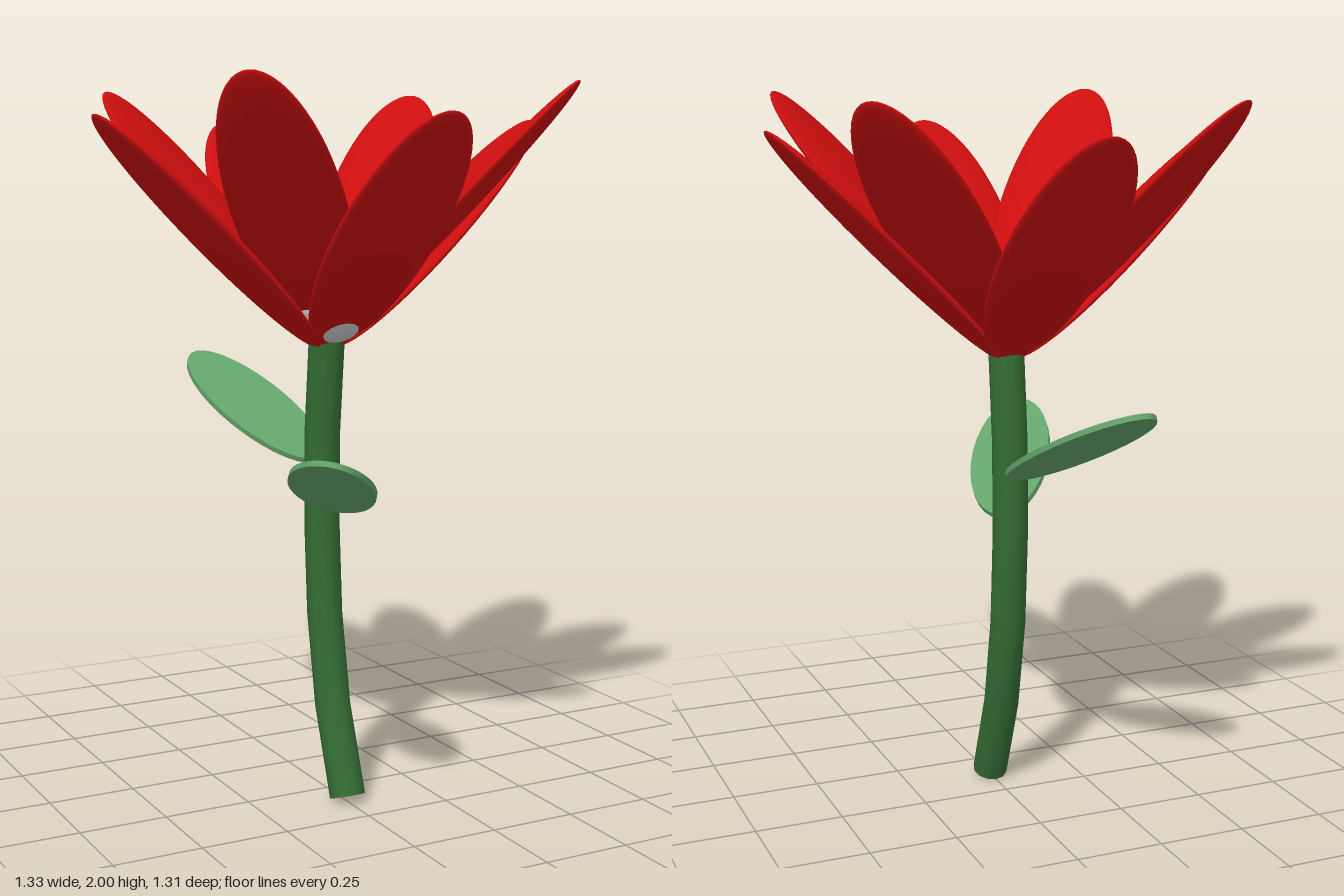
import * as THREE from 'three';

const V = (x, y, z) => new THREE.Vector3(x, y, z);

const material = (color) => new THREE.MeshStandardMaterial({ color });

// Turns a mesh so its local y follows `along` and its local z follows `normal`
function orient(mesh, center, along, normal) {
  const y = along.clone().normalize();
  const x = y.clone().cross(normal).normalize();
  const z = x.clone().cross(y);
  mesh.setRotationFromMatrix(new THREE.Matrix4().makeBasis(x, y, z));
  mesh.position.copy(center);
  return mesh;
}

// Bent stem with closed ends
function makeStem() {
  const stem = new THREE.Group();
  stem.name = 'stem';
  const green = material(0x336b33);
  const radius = 0.05;
  const curve = new THREE.CatmullRomCurve3([
    V(0, 0.018, 0.127), V(0, 0.28, 0.032), V(0, 0.55, -0.016),
    V(0, 0.82, -0.03), V(0, 1.08, -0.024), V(0, 1.3, 0),
  ]);
  const tube = new THREE.Mesh(new THREE.TubeGeometry(curve, 5, radius, 12), green);
  tube.name = 'stemTube';
  stem.add(tube);
  for (const t of [0, 1]) {
    const cap = new THREE.Mesh(new THREE.CircleGeometry(radius, 12), green);
    cap.name = t ? 'stemTop' : 'stemBottom';
    const outward = curve.getTangent(t).multiplyScalar(t ? 1 : -1);
    cap.quaternion.setFromUnitVectors(V(0, 0, 1), outward);
    cap.position.copy(curve.getPoint(t));
    stem.add(cap);
  }
  return stem;
}

// Thin oval leaf from its base to its tip
function makeLeaf(name, base, tip, normal, halfWidth) {
  const along = tip.clone().sub(base);
  const geometry = new THREE.CylinderGeometry(1, 1, 1, 32);
  geometry.rotateX(Math.PI / 2);
  geometry.scale(halfWidth, along.length() / 2, 0.015);
  const leaf = new THREE.Mesh(geometry, material(0x64a56c));
  leaf.name = name;
  return orient(leaf, base.clone().lerp(tip, 0.5), along, normal);
}

// Flattened ellipsoid petals, each leaning outward at its own angle
function makePetals() {
  const petals = new THREE.Group();
  petals.name = 'petals';
  const geometry = new THREE.SphereGeometry(1, 40, 28);
  geometry.scale(0.159, 0.447, 0.028);
  const red = material(0xcc0e0e);
  // azimuth in degrees from +x towards +z, centre radius, centre height, rise per unit outward
  const layout = [
    [0, 0.345, 1.592, 0.98], [40, 0.375, 1.672, 1.06],
    [90, 0.335, 1.592, 0.98], [133, 0.373, 1.672, 1.06],
    [180, 0.35, 1.592, 0.98], [233, 0.39, 1.662, 1.04],
    [270, 0.34, 1.592, 0.98], [319, 0.392, 1.664, 1.04],
  ];
  for (const [degrees, radius, height, rise] of layout) {
    const a = THREE.MathUtils.degToRad(degrees);
    const out = V(Math.cos(a), 0, Math.sin(a));
    const along = out.clone().setY(rise);
    const inward = out.clone().multiplyScalar(-rise).setY(1);
    const petal = new THREE.Mesh(geometry, red);
    petal.name = 'petal';
    petals.add(orient(petal, out.multiplyScalar(radius).setY(height), along, inward));
  }
  return petals;
}

export function createModel() {
  const flower = new THREE.Group();
  flower.name = 'flower';

  // Round centre of the blossom
  const center = new THREE.Mesh(new THREE.SphereGeometry(0.133, 32, 24), material(0xcccccc));
  center.name = 'blossomCenter';
  center.position.set(0.002, 1.42, 0.004);

  flower.add(
    makeStem(),
    makeLeaf('frontLeaf', V(0, 0.825, 0.01), V(-0.25, 1.045, 0.53), V(0.37, 0.9, -0.2), 0.12),
    makeLeaf('backLeaf', V(0, 0.95, -0.065), V(-0.14, 1.213, -0.59), V(0, 0.525, 0.263), 0.12),
    makePetals(),
    center,
  );
  return flower;
}
